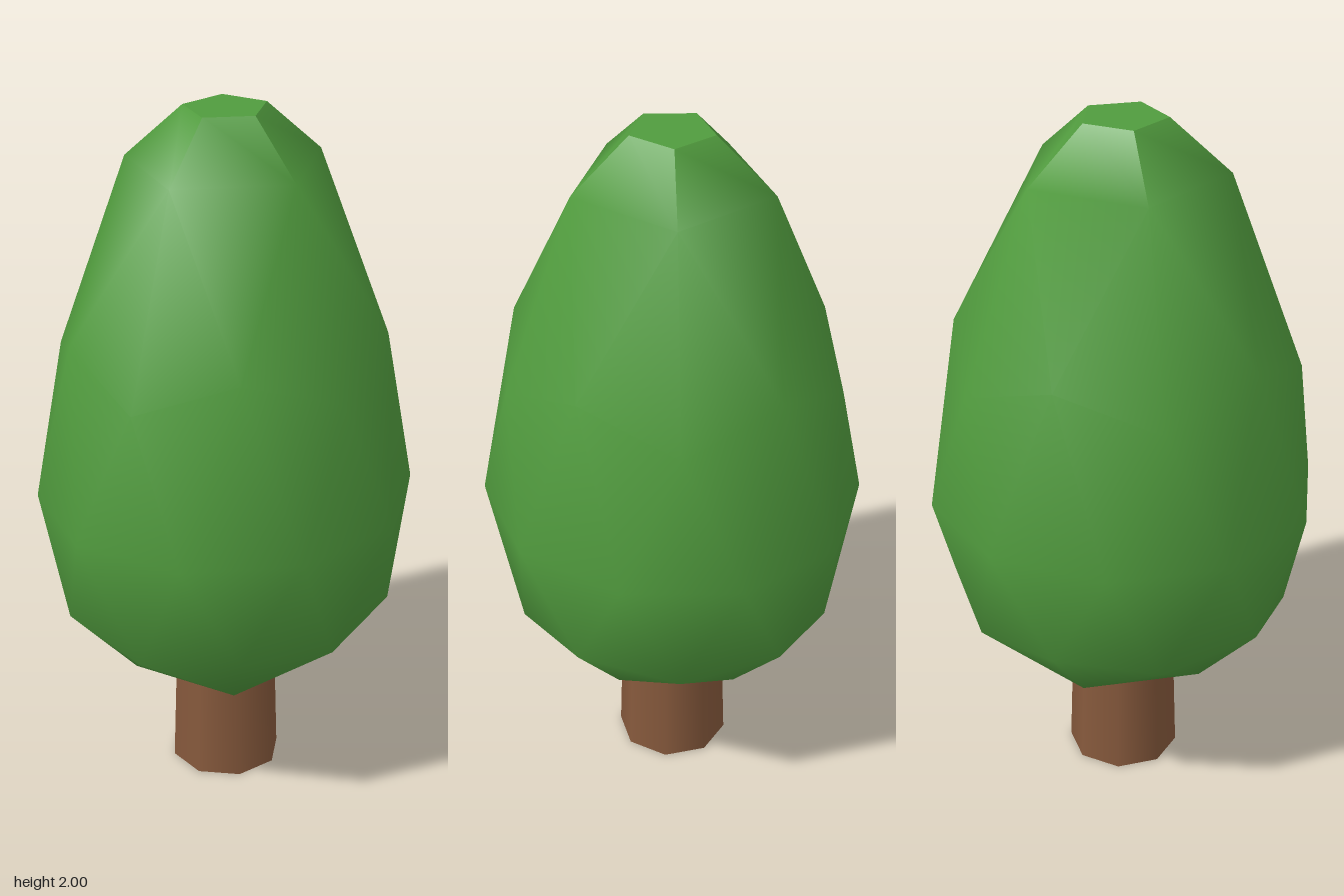
import * as THREE from 'three';

const RX = 0.53, RZ = 0.555; // foliage half-widths
const STEP = Math.PI / 5;

// Point on a foliage ring; the angle runs from +z towards +x in 36 degree steps
const ringPoint = (r, y, a) => [RX * r * Math.sin(a * STEP), y, RZ * r * Math.cos(a * STEP)];

const TOP = { y: 2, r: 0.222 };

function foliageGeometry() {
  const pos = [], index = [];
  const add = (r, y, a) => pos.push(...ringPoint(r, y, a)) / 3 - 1;
  const ring = (r, y, phase) => [0, 1, 2, 3, 4].map((k) => add(r, y, 2 * k + phase));

  // Widest ring of ten, shared by both halves
  const mid = [];
  for (let j = 0; j < 10; j++) mid.push(add(1, 0.885, j + 0.5));

  // One half of a stretched, once-subdivided icosahedron
  function half(phase, yA, yB, yC, flip) {
    const tri = (a, b, c) => (flip ? index.push(a, c, b) : index.push(a, b, c));
    const A = ring(0.526, yA, phase);
    const B = ring(0.894, yB, phase);
    const C = ring(0.851, yC, phase + 1);
    for (let k = 0; k < 5; k++) {
      const n = (k + 1) % 5;
      const m = (j) => mid[(2 * k + phase + j + 10) % 10];
      tri(A[k], C[k], A[n]);
      tri(A[k], B[k], C[k]);
      tri(A[n], C[k], B[n]);
      tri(B[k], m(0), C[k]);
      tri(C[k], m(0), m(1));
      tri(C[k], m(1), B[n]);
      tri(B[k], m(-1), m(0));
    }
    return A;
  }
  const upper = half(0, 1.85, 1.29, 1.39, false);
  const lower = half(1, 0.355, 0.57, 0.53, true);

  // Slopes up to the cut tip, with split corners for a crisp crease
  for (let k = 0; k < 5; k++) {
    const n = (k + 1) % 5;
    const t0 = add(TOP.r, TOP.y, 2 * k), t1 = add(TOP.r, TOP.y, 2 * k + 2);
    index.push(t0, upper[k], upper[n], t0, upper[n], t1);
  }

  // Flat underside
  const pole = add(0, 0.355, 0);
  for (let k = 0; k < 5; k++) index.push(pole, lower[(k + 1) % 5], lower[k]);

  const g = new THREE.BufferGeometry();
  g.setAttribute('position', new THREE.Float32BufferAttribute(pos, 3));
  g.setIndex(index);
  g.computeVertexNormals();
  return g;
}

// Flat five-sided tip
function tipGeometry() {
  const g = new THREE.CircleGeometry(TOP.r, 5, -Math.PI / 2);
  g.rotateX(-Math.PI / 2);
  g.scale(RX, 1, RZ);
  g.translate(0, TOP.y, 0);
  return g;
}

export function createModel() {
  const green = new THREE.MeshStandardMaterial({ color: 0x519c3e });
  const brown = new THREE.MeshStandardMaterial({ color: 0x86593c });
  const tree = new THREE.Group();
  tree.name = 'tree';
  const part = (name, geometry, material) => {
    const mesh = new THREE.Mesh(geometry, material);
    mesh.name = name;
    tree.add(mesh);
    return mesh;
  };

  part('foliage', foliageGeometry(), green);
  part('foliageTip', tipGeometry(), green);
  part('trunk', new THREE.CylinderGeometry(0.148, 0.16, 0.4, 8), brown).position.y = 0.2;
  return tree;
}
